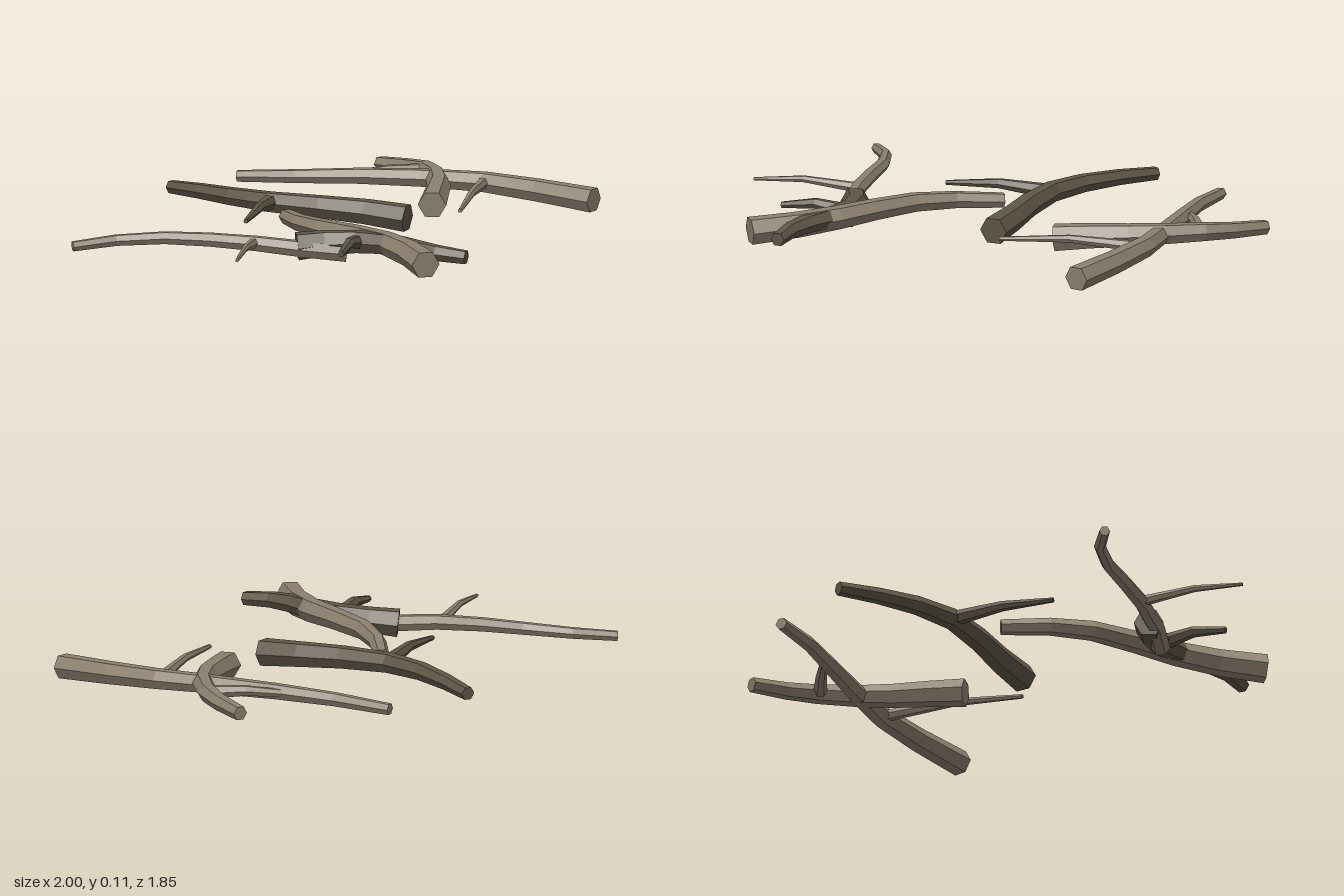
import * as THREE from 'three';

const SIDES = 6;

// Tapered six-sided branch through [x, y, z] points, closed at both ends
function branchGeometry(points, r0, r1) {
  const pts = points.map((p) => new THREE.Vector3(...p));
  const n = pts.length;
  const positions = [];
  const index = [];
  pts.forEach((p, i) => {
    const dir = pts[Math.min(i + 1, n - 1)].clone().sub(pts[Math.max(i - 1, 0)]).normalize();
    const side = new THREE.Vector3(0, 1, 0).cross(dir).normalize();
    const up = dir.clone().cross(side);
    const r = THREE.MathUtils.lerp(r0, r1, i / (n - 1));
    for (let k = 0; k < SIDES; k++) {
      const a = (k / SIDES) * Math.PI * 2;
      const v = p.clone().addScaledVector(side, r * Math.cos(a)).addScaledVector(up, r * Math.sin(a));
      positions.push(v.x, v.y, v.z);
    }
  });
  for (let i = 0; i < n - 1; i++) {
    for (let k = 0; k < SIDES; k++) {
      const a = i * SIDES + k;
      const b = i * SIDES + ((k + 1) % SIDES);
      index.push(a, b, b + SIDES, a, b + SIDES, a + SIDES);
    }
  }
  // End caps
  const last = (n - 1) * SIDES;
  for (let k = 1; k < SIDES - 1; k++) {
    index.push(0, k + 1, k, last, last + k, last + k + 1);
  }
  const geo = new THREE.BufferGeometry();
  geo.setAttribute('position', new THREE.Float32BufferAttribute(positions, 3));
  geo.setIndex(index);
  const flat = geo.toNonIndexed();
  flat.computeVertexNormals();
  return flat;
}

export function createModel() {
  const paleWood = new THREE.MeshStandardMaterial({ color: 0x8c806f });
  paleWood.name = 'paleWood';
  const darkWood = new THREE.MeshStandardMaterial({ color: 0x5f5647 });
  darkWood.name = 'darkWood';

  const model = new THREE.Group();
  model.name = 'fallenBranches';

  const add = (name, material, r0, r1, points) => {
    const mesh = new THREE.Mesh(branchGeometry(points, r0, r1), material);
    mesh.name = name;
    model.add(mesh);
  };

  // Crossed pair at the back
  add('backLongBranch', paleWood, 0.047, 0.022, [
    [0.965, 0.048, -0.165], [0.79, 0.06, -0.32], [0.62, 0.07, -0.45], [0.41, 0.073, -0.55],
    [0.2, 0.07, -0.635], [-0.01, 0.06, -0.715], [-0.205, 0.048, -0.815],
  ]);
  add('backCrossBranch', paleWood, 0.051, 0.027, [
    [0.38, 0.053, -0.155], [0.415, 0.064, -0.28], [0.45, 0.072, -0.41], [0.462, 0.076, -0.54],
    [0.445, 0.075, -0.68], [0.4, 0.066, -0.79], [0.325, 0.055, -0.915],
  ]);
  add('backLongTwig', paleWood, 0.021, 0.008, [
    [0.612, 0.07, -0.43], [0.53, 0.085, -0.19], [0.445, 0.07, 0.05],
  ]);
  add('backCrossTwig', paleWood, 0.026, 0.014, [
    [0.445, 0.075, -0.67], [0.31, 0.08, -0.667], [0.17, 0.068, -0.66],
  ]);

  // Single branch in the middle
  add('middleBranch', darkWood, 0.052, 0.025, [
    [0.255, 0.05, 0.05], [0.12, 0.062, -0.035], [-0.03, 0.07, -0.11], [-0.195, 0.074, -0.21],
    [-0.31, 0.073, -0.335], [-0.4, 0.068, -0.475], [-0.48, 0.058, -0.615],
  ]);
  add('middleTwig', darkWood, 0.028, 0.009, [
    [-0.19, 0.075, -0.21], [-0.265, 0.092, -0.03], [-0.345, 0.08, 0.15],
  ]);

  // Tangled group at the front
  add('frontUprightBranch', paleWood, 0.052, 0.028, [
    [0.17, 0.054, 0.91], [0.14, 0.064, 0.74], [0.085, 0.072, 0.59], [0, 0.076, 0.45],
    [-0.1, 0.074, 0.29], [-0.15, 0.066, 0.14], [-0.167, 0.055, -0.035],
  ]);
  add('frontCrossBranch', darkWood, 0.053, 0.026, [
    [-0.22, 0.052, 0.49], [-0.12, 0.062, 0.495], [-0.01, 0.07, 0.53], [0.09, 0.074, 0.61],
    [0.16, 0.073, 0.7], [0.235, 0.068, 0.775], [0.33, 0.06, 0.83],
  ]);
  add('frontLongBranch', paleWood, 0.034, 0.019, [
    [-0.05, 0.031, 0.535], [-0.2, 0.046, 0.515], [-0.36, 0.062, 0.465], [-0.52, 0.069, 0.4],
    [-0.67, 0.069, 0.34], [-0.84, 0.06, 0.31], [-1, 0.046, 0.325],
  ]);
  add('frontLongTwig', paleWood, 0.019, 0.006, [
    [-0.372, 0.064, 0.465], [-0.435, 0.085, 0.65], [-0.495, 0.075, 0.82],
  ]);
  add('frontCrossTwig', darkWood, 0.028, 0.012, [
    [-0.01, 0.07, 0.54], [-0.06, 0.09, 0.65], [-0.11, 0.075, 0.765],
  ]);

  return model;
}
